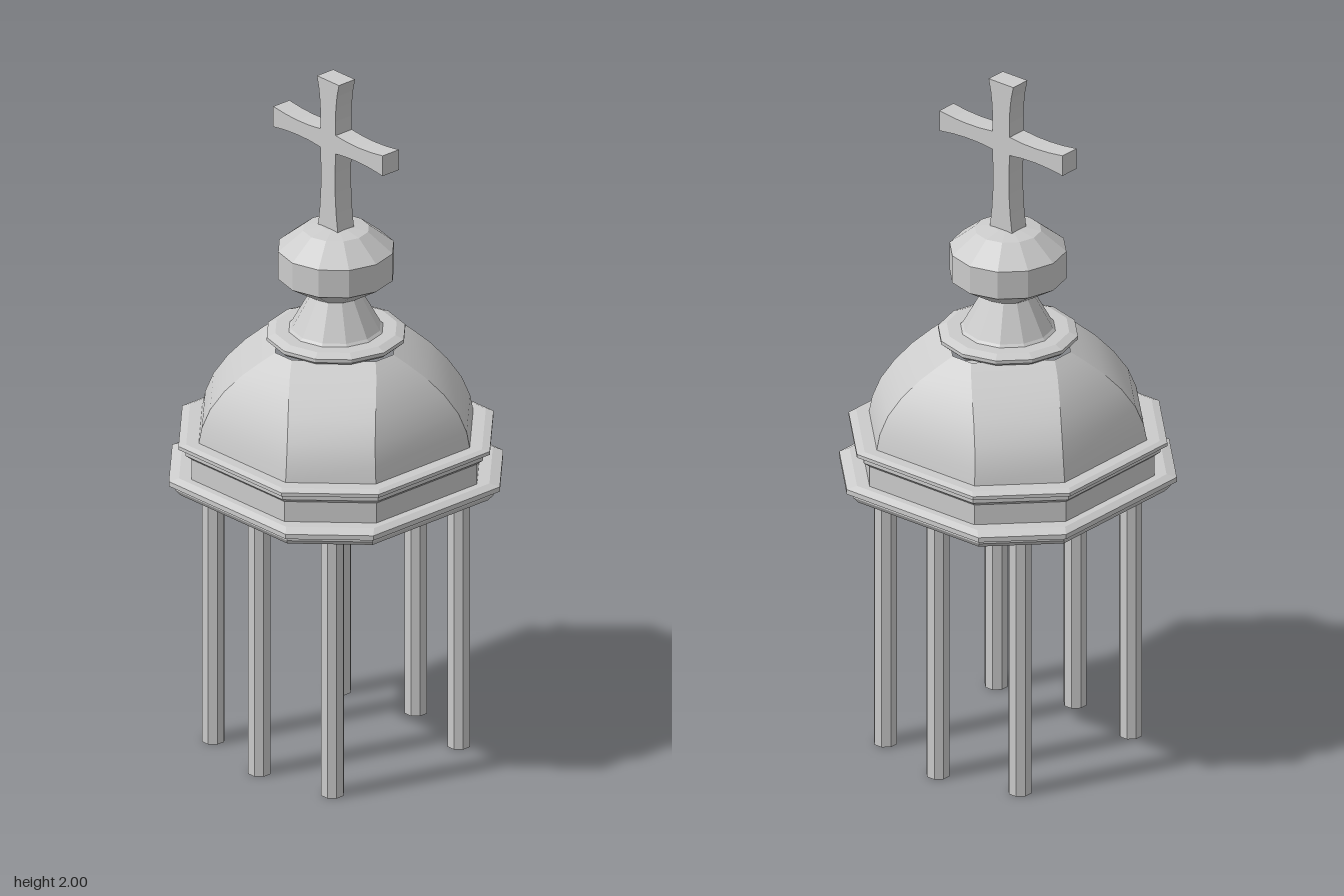
import * as THREE from 'three';

const flat = new THREE.MeshStandardMaterial({ color: 0xcccccc, flatShading: true });
const smooth = new THREE.MeshStandardMaterial({ color: 0xcccccc });

function addMesh(parent, name, geometry, material = flat) {
  const mesh = new THREE.Mesh(geometry, material);
  mesh.name = name;
  parent.add(mesh);
  return mesh;
}

// Lofts octagonal rings [apothem, half width of the axis-facing sides, y], bottom to top.
// Each of the eight sides has its own vertices, so the corners stay sharp.
function octagonLoft(rings) {
  const corners = ([a, h]) => [[-h, a], [h, a], [a, h], [a, -h], [h, -a], [-h, -a], [-a, -h], [-a, h]];
  const positions = [], index = [];
  for (let side = 0; side < 8; side++) {
    const start = positions.length / 3;
    rings.forEach((ring, r) => {
      const c = corners(ring), p = c[side], q = c[(side + 1) % 8];
      positions.push(p[0], ring[2], p[1], q[0], ring[2], q[1]);
      if (r > 0) {
        const b = start + (r - 1) * 2;
        index.push(b, b + 1, b + 3, b, b + 3, b + 2);
      }
    });
  }
  const geometry = new THREE.BufferGeometry();
  geometry.setAttribute('position', new THREE.Float32BufferAttribute(positions, 3));
  geometry.setIndex(index);
  geometry.computeVertexNormals();
  return geometry;
}

function lathe(profile) {
  return new THREE.LatheGeometry(profile.map(([r, y]) => new THREE.Vector2(r, y)), 12);
}

export function createModel() {
  const model = new THREE.Group();
  model.name = 'domedCanopy';

  // Six slender columns
  const columns = new THREE.Group();
  columns.name = 'columns';
  model.add(columns);
  const columnGeometry = new THREE.CylinderGeometry(0.033, 0.033, 0.8, 8).rotateY(Math.PI / 8);
  for (const [x, z] of [[-0.235, 0.24], [0.235, 0.24], [-0.285, 0], [0.297, 0], [-0.235, -0.24], [0.235, -0.24]]) {
    addMesh(columns, 'column', columnGeometry).position.set(x, 0.4, z);
  }

  // Entablature: lower moulding, frieze and upper cornice
  addMesh(model, 'entablature', octagonLoft([
    [0, 0, 0.79], [0.38, 0.215, 0.79], [0.39, 0.225, 0.805],
    [0.39, 0.225, 0.812], [0.405, 0.235, 0.818], [0.405, 0.235, 0.832],
    [0.385, 0.215, 0.842], [0.365, 0.187, 0.842], [0.365, 0.187, 0.902],
    [0.38, 0.195, 0.915], [0.38, 0.195, 0.928], [0.395, 0.207, 0.934],
    [0.395, 0.207, 0.944], [0.38, 0.192, 0.95], [0, 0, 0.95],
  ]));

  // Eight-panelled dome
  addMesh(model, 'dome', octagonLoft([
    [0.35, 0.175, 0.945], [0.342, 0.17, 0.995], [0.325, 0.155, 1.05],
    [0.297, 0.128, 1.105], [0.262, 0.093, 1.155], [0.225, 0.058, 1.195], [0.195, 0.033, 1.222],
  ]), smooth);

  // Collar, tapered neck and faceted ball
  const finial = new THREE.Group();
  finial.name = 'finial';
  model.add(finial);
  addMesh(finial, 'collar', lathe([[0, 1.22], [0.185, 1.22], [0.194, 1.228], [0.194, 1.238], [0.17, 1.248], [0, 1.248]]));
  addMesh(finial, 'neck', lathe([[0.135, 1.245], [0.125, 1.255], [0.072, 1.352], [0.064, 1.365]]));
  addMesh(finial, 'ball', lathe([
    [0, 1.355], [0.075, 1.355], [0.162, 1.41], [0.162, 1.492], [0.092, 1.548], [0.04, 1.557], [0, 1.557],
  ]));

  // Flared cross with its arms along z
  const outline = new THREE.Shape();
  outline.moveTo(-0.04, 1.55);
  outline.quadraticCurveTo(-0.022, 1.67, -0.031, 1.79);
  outline.quadraticCurveTo(-0.12, 1.803, -0.22, 1.787);
  outline.lineTo(-0.22, 1.848);
  outline.quadraticCurveTo(-0.12, 1.832, -0.031, 1.845);
  outline.quadraticCurveTo(-0.026, 1.93, -0.044, 2);
  outline.lineTo(0.044, 2);
  outline.quadraticCurveTo(0.026, 1.93, 0.031, 1.845);
  outline.quadraticCurveTo(0.12, 1.832, 0.22, 1.848);
  outline.lineTo(0.22, 1.787);
  outline.quadraticCurveTo(0.12, 1.803, 0.031, 1.79);
  outline.quadraticCurveTo(0.022, 1.67, 0.04, 1.55);
  outline.closePath();
  const crossGeometry = new THREE.ExtrudeGeometry(outline, { depth: 0.06, bevelEnabled: false, curveSegments: 4 });
  crossGeometry.translate(0, 0, -0.03).rotateY(Math.PI / 2);
  addMesh(model, 'cross', crossGeometry);

  return model;
}
